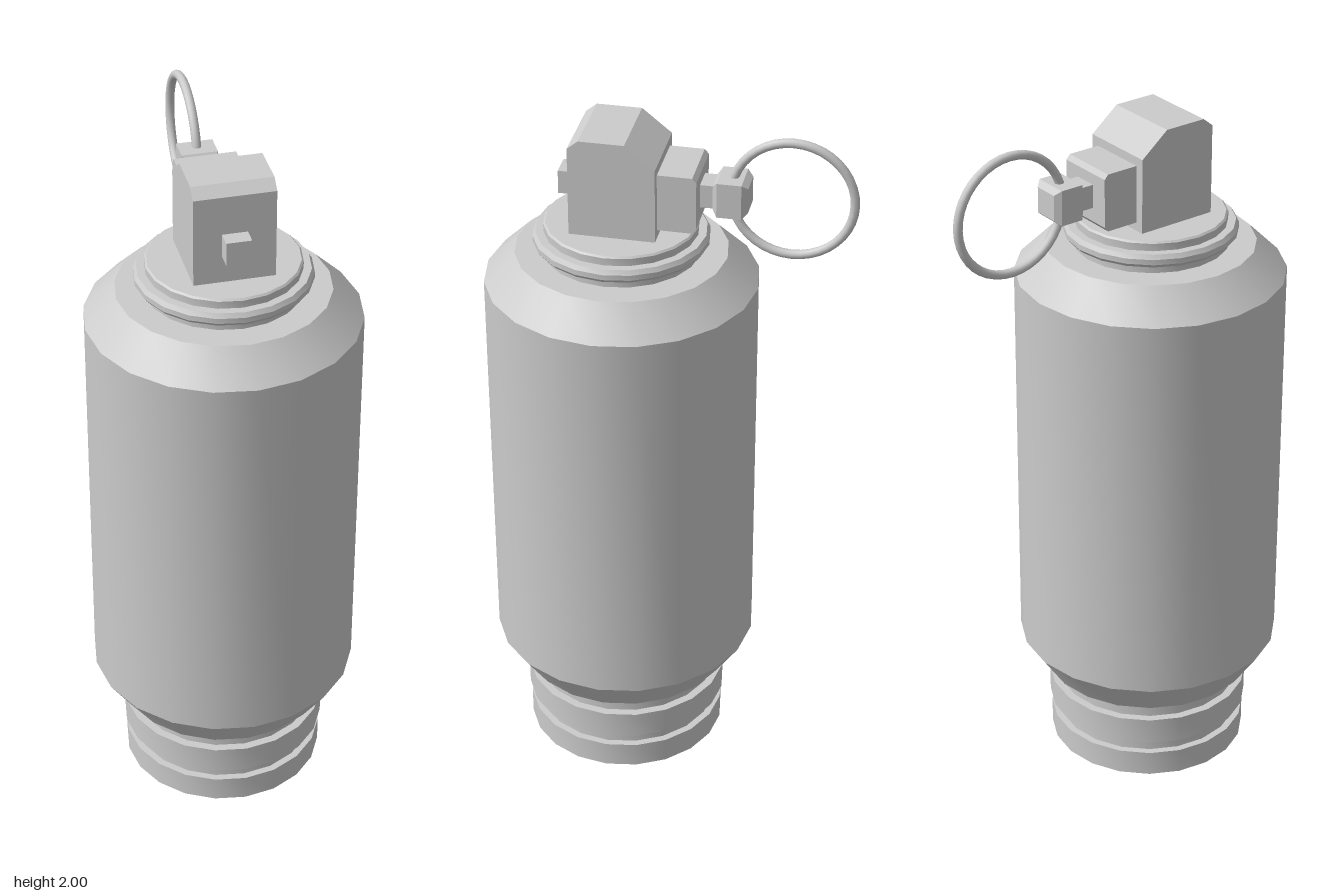
import * as THREE from 'three';
import { toCreasedNormals } from 'three/addons/utils/BufferGeometryUtils.js';

const AXIS_Z = 0.131; // the canister axis sits forward of the centre because of the pull ring

export function createModel() {
  const group = new THREE.Group();
  const material = new THREE.MeshStandardMaterial({ color: 0xcccccc });

  const add = (name, geometry, x = 0, y = 0, z = 0) => {
    const mesh = new THREE.Mesh(geometry, material);
    mesh.name = name;
    mesh.position.set(x, y, z);
    group.add(mesh);
    return mesh;
  };

  // Turned part from [radius, height] pairs, smooth around and sharp at the steps
  const turned = (pairs, sides) => toCreasedNormals(
    new THREE.LatheGeometry(pairs.map(([r, y]) => new THREE.Vector2(r, y)), sides), 0.45);

  // Side profile of [z, y] pairs, extruded across x
  const sideProfile = (pairs, width) => {
    const shape = new THREE.Shape(pairs.map(([z, y]) => new THREE.Vector2(z, y)));
    return new THREE.ExtrudeGeometry(shape, { depth: width, bevelEnabled: false })
      .translate(0, 0, -width / 2).rotateY(-Math.PI / 2);
  };

  // Base with two raised bands
  add('base', turned([
    [0, 0], [0.24, 0], [0.285, 0.03], [0.285, 0.105], [0.265, 0.105], [0.265, 0.145],
    [0.29, 0.145], [0.29, 0.225], [0.267, 0.225], [0.267, 0.29],
  ], 20), 0, 0, AXIS_Z);

  // Main canister with sloped shoulders
  add('canister', turned([
    [0, 0.28], [0.305, 0.28], [0.375, 0.385], [0.375, 1.54], [0.29, 1.625], [0, 1.625],
  ], 20), 0, 0, AXIS_Z);

  // Neck with a bevelled collar and cap
  add('neck', turned([
    [0.215, 1.62], [0.215, 1.643], [0.232, 1.65], [0.24, 1.66], [0.24, 1.675], [0.232, 1.687],
    [0.21, 1.687], [0.21, 1.708], [0.205, 1.713], [0, 1.713],
  ], 20), 0, 0, AXIS_Z);

  // Fuze housing and the smaller block behind it
  add('fuzeHousing', sideProfile([
    [0.016, 1.71], [0.25, 1.71], [0.25, 1.965], [0.22, 1.99], [0.097, 1.99], [0.016, 1.925],
  ], 0.22));
  add('rearBlock', sideProfile([
    [0.03, 1.737], [-0.078, 1.737], [-0.089, 1.75], [-0.089, 1.887], [-0.078, 1.9], [0.03, 1.9],
  ].reverse(), 0.17));

  // Square safety pin: front end, shank and bevelled head
  add('pinFrontEnd', new THREE.BoxGeometry(0.068, 0.066, 0.06), 0, 1.823, 0.265);
  add('pinShank', new THREE.BoxGeometry(0.068, 0.066, 0.06), 0, 1.823, -0.105);
  const head = [[0, 0.123], [0.034, 0.123], [0.05, 0.136], [0.05, 0.202], [0.036, 0.218], [0, 0.218]]
    .map(([half, d]) => [half * Math.SQRT2, d]);
  add('pinHead', turned(head, 4).rotateY(Math.PI / 4).rotateX(-Math.PI / 2), 0, 1.823, 0);

  // Pull ring hanging through the pin head
  add('pullRing', new THREE.TorusGeometry(0.165, 0.0125, 10, 40).rotateY(Math.PI / 2), 0, 1.822, -0.331);

  return group;
}
